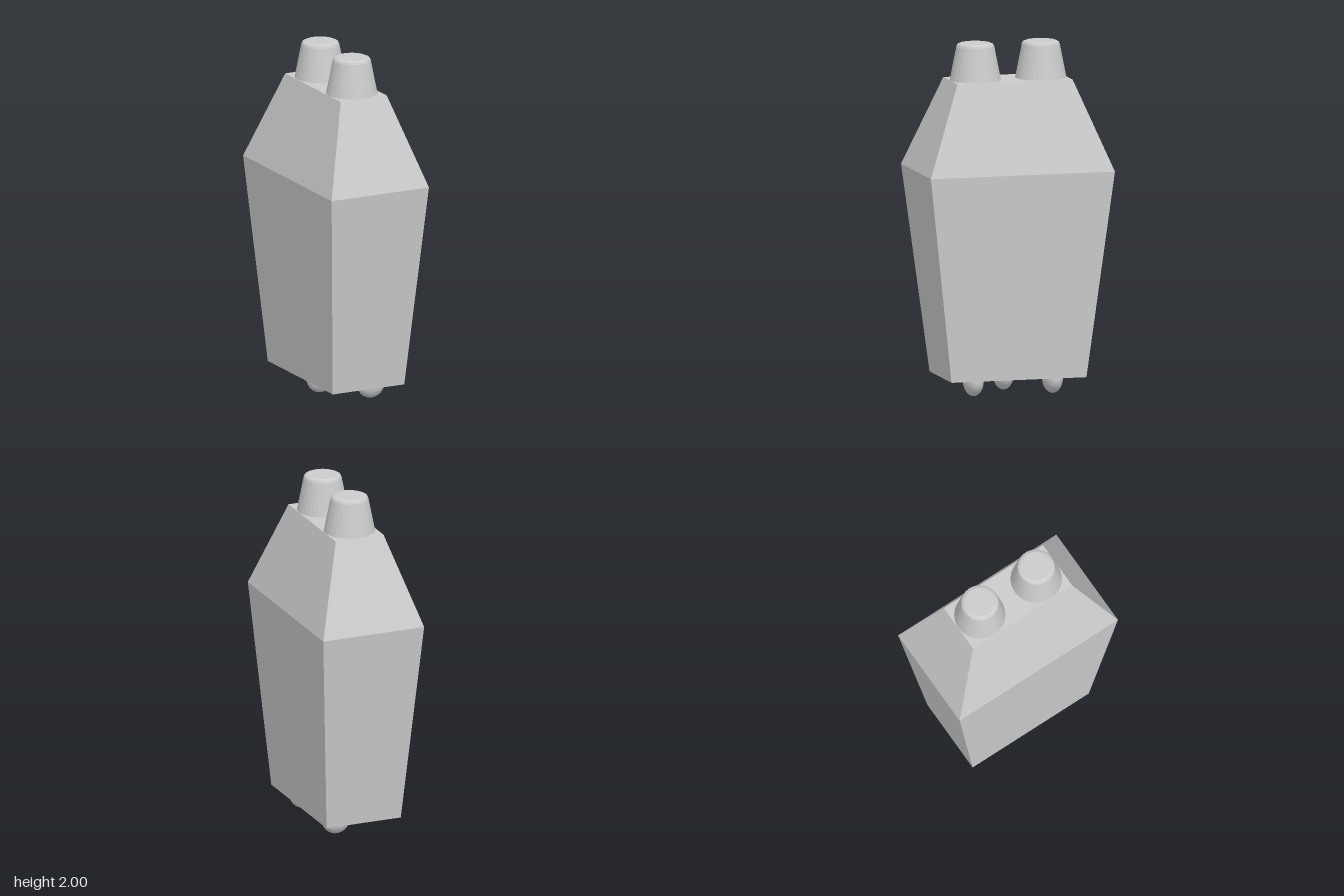
import * as THREE from 'three';

const flat = new THREE.MeshStandardMaterial({ color: 0xcccccc, flatShading: true });
const smooth = new THREE.MeshStandardMaterial({ color: 0xcccccc });

// Rectangular block whose top and bottom have different half sizes [x, z]
function taperedBlock(name, y0, [x0, z0], y1, [x1, z1]) {
  const geometry = new THREE.BoxGeometry(2, 2, 2);
  const p = geometry.attributes.position;
  for (let i = 0; i < p.count; i++) {
    const top = p.getY(i) > 0;
    p.setXYZ(i, p.getX(i) * (top ? x1 : x0), top ? y1 : y0, p.getZ(i) * (top ? z1 : z0));
  }
  geometry.computeVertexNormals();
  const mesh = new THREE.Mesh(geometry, flat);
  mesh.name = name;
  return mesh;
}

export function createModel() {
  const model = new THREE.Group();
  model.name = 'model';

  // Body widening upward, then shoulders narrowing to the top
  model.add(taperedBlock('body', 0.1, [0.228, 0.396], 1.28, [0.31, 0.54]));
  model.add(taperedBlock('shoulders', 1.28, [0.31, 0.54], 1.79, [0.147, 0.338]));

  // Two tapered studs with a bevelled rim
  const studProfile = [[0, 1.79], [0.145, 1.79], [0.108, 1.98], [0.102, 1.993], [0.086, 2], [0, 2]]
    .map(([r, y]) => new THREE.Vector2(r, y));
  const studGeometry = new THREE.LatheGeometry(studProfile, 32);
  for (const [name, z] of [['frontStud', 0.192], ['backStud', -0.192]]) {
    const stud = new THREE.Mesh(studGeometry, flat);
    stud.name = name;
    stud.position.z = z;
    model.add(stud);
  }

  // Three flattened round feet, set in a triangle
  const footGeometry = new THREE.SphereGeometry(1, 32, 20);
  for (const [name, x, z] of [['frontFoot', 0.1, 0.232], ['middleFoot', -0.1, 0], ['backFoot', 0.1, -0.232]]) {
    const foot = new THREE.Mesh(footGeometry, smooth);
    foot.name = name;
    foot.scale.set(0.085, 0.087, 0.057);
    foot.position.set(x, 0.087, z);
    model.add(foot);
  }

  return model;
}
